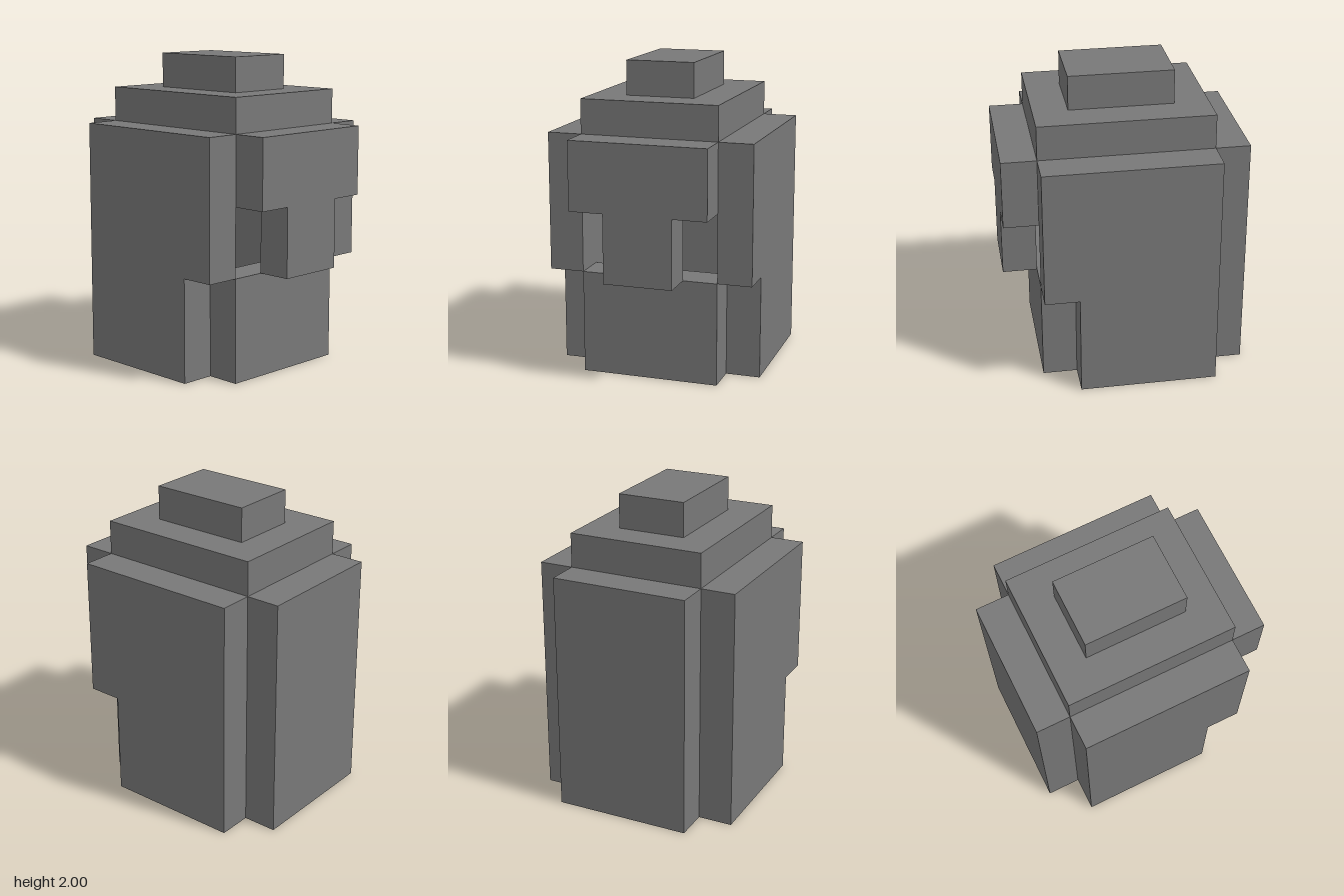
import * as THREE from 'three';

const U = 2 / 9; // one block

export function createModel() {
  const model = new THREE.Group();
  model.name = 'helmet';
  const steel = new THREE.MeshStandardMaterial({ color: 0x787878 });
  steel.name = 'steel grey';

  // Box between two corners, measured in blocks
  const block = (name, [x0, y0, z0], [x1, y1, z1]) => {
    const mesh = new THREE.Mesh(
      new THREE.BoxGeometry((x1 - x0) * U, (y1 - y0) * U, (z1 - z0) * U), steel);
    mesh.position.set((x0 + x1) / 2 * U, (y0 + y1) / 2 * U, (z0 + z1) / 2 * U);
    mesh.name = name;
    model.add(mesh);
  };

  // Plate with a cut-out, extruded from an outline in blocks
  const plate = (name, points) => {
    const shape = new THREE.Shape(points.map(([x, y]) => new THREE.Vector2(x * U, y * U)));
    const mesh = new THREE.Mesh(
      new THREE.ExtrudeGeometry(shape, { depth: U, bevelEnabled: false }), steel);
    mesh.name = name;
    model.add(mesh);
    return mesh;
  };

  // Face plate: brow with a nose guard between the open eyes
  plate('facePlate', [[-1, 3], [1, 3], [1, 5], [2, 5], [2, 7], [-2, 7], [-2, 5], [-1, 5]])
    .position.z = 2.5 * U;

  // Side plates, notched at the lower front
  for (const [name, x] of [['leftSidePlate', 2], ['rightSidePlate', -3]]) {
    const side = plate(name, [[-1.5, 0], [2.5, 0], [2.5, 7], [-2.5, 7], [-2.5, 3], [-1.5, 3]]);
    side.rotation.y = Math.PI / 2;
    side.position.x = x * U;
  }

  // Chin and back close the hollow interior
  block('chinGuard', [-2, 0, 1.5], [2, 3, 2.5]);
  block('backPlate', [-2, 0, -3.5], [2, 7, -2.5]);

  // Stepped crown
  block('crown', [-2, 7, -2.5], [2, 8, 2.5]);
  block('crownTop', [-1, 8, -1.5], [1, 9, 1.5]);

  return model;
}
